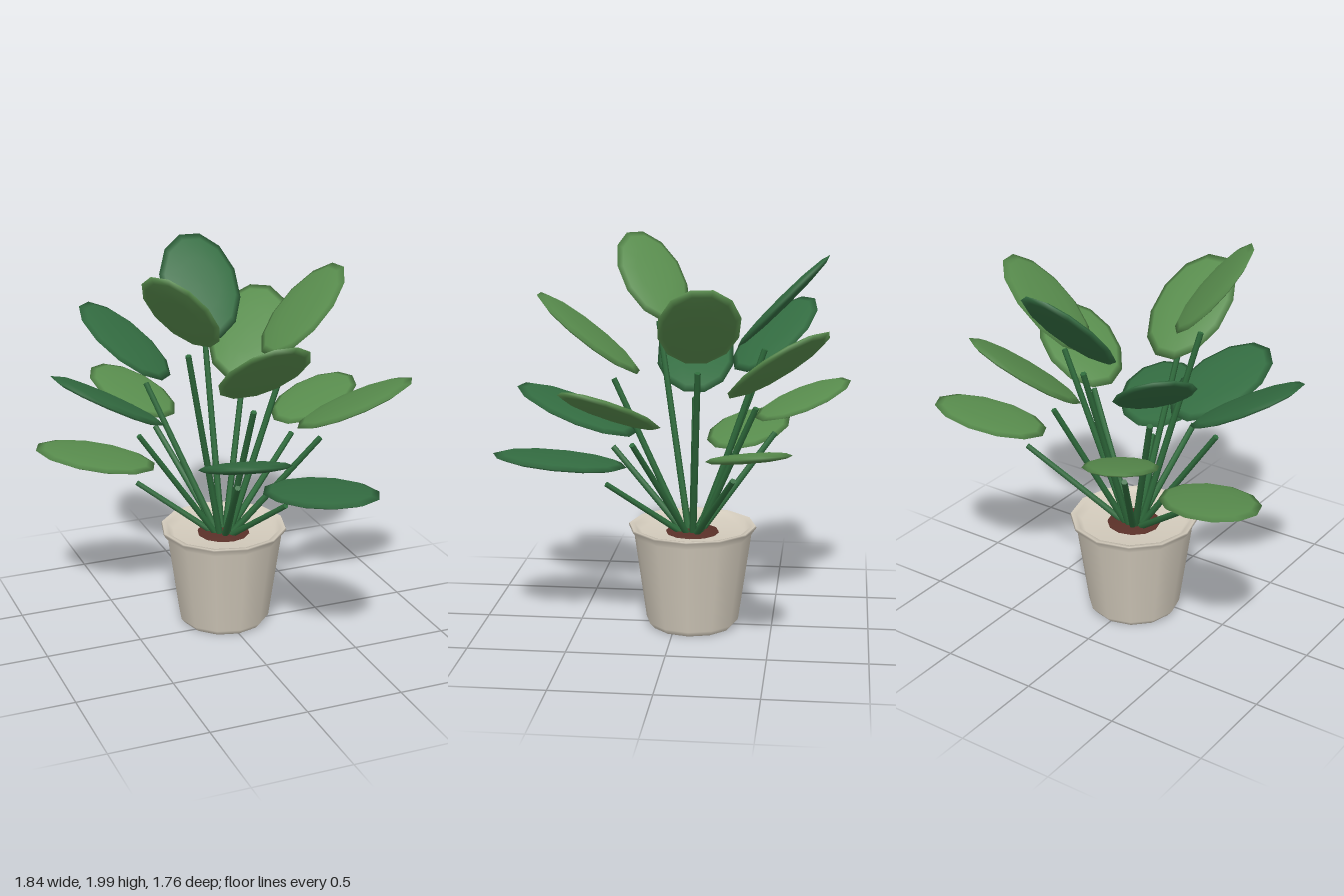
import * as THREE from 'three';

const flat = (name, color) => {
  const m = new THREE.MeshStandardMaterial({ color });
  m.name = name;
  return m;
};

export function createModel() {
  const model = new THREE.Group();
  model.name = 'pottedPlant';

  const clay = flat('paleClay', 0xd3cbbc);
  const earth = flat('brownSoil', 0x5a3028);
  const stalk = flat('stemGreen', 0x2f6b3c);
  const light = flat('lightLeafGreen', 0x588c4d);
  const dark = flat('darkLeafGreen', 0x336c41);

  const add = (name, geometry, material, parent = model) => {
    const mesh = new THREE.Mesh(geometry, material);
    mesh.name = name;
    parent.add(mesh);
    return mesh;
  };

  // Everything grows from the pot's axis, a little behind the centre
  const axisZ = -0.085;
  const lathe = (points) =>
    new THREE.LatheGeometry(points.map(([r, y]) => new THREE.Vector2(r, y)), 12);

  // Pot: base, wall with a flared lip, and the shallow dish inside
  const pot = new THREE.Group();
  pot.name = 'pot';
  pot.position.z = axisZ;
  model.add(pot);
  add('potBase', lathe([[0, 0], [0.215, 0]]), clay, pot);
  add('potWall', lathe([[0.215, 0], [0.24, 0.03], [0.305, 0.49], [0.332, 0.527], [0.328, 0.535]]), clay, pot);
  add('potDish', lathe([[0.328, 0.535], [0.3, 0.53], [0.27, 0.5], [0, 0.49]]), clay, pot);
  add('soil', lathe([[0.14, 0.485], [0.135, 0.503], [0, 0.508]]), earth, pot);

  // Leaves: centre x, y, z, upward tilt in degrees, length, material
  const leaves = [
    [-0.305, 1.145, -0.635, 19, 0.54, light],
    [-0.39, 1.475, -0.48, 36, 0.58, dark],
    [0.05, 1.71, -0.54, 46, 0.63, dark],
    [0.325, 1.435, -0.53, 36, 0.64, light],
    [0.66, 1.055, -0.41, 14, 0.57, light],
    [0.47, 1.635, -0.16, 44, 0.6, light],
    [0.575, 1.245, 0.255, 25, 0.62, light],
    [0.255, 0.92, 0.555, 8, 0.66, dark],
    [0, 1.525, 0.445, 38, 0.64, light],
    [-0.135, 1.1, 0.535, 20, 0.66, dark],
    [-0.31, 1.78, 0.155, 49, 0.56, light],
    [-0.625, 1.315, -0.04, 29, 0.63, dark],
    [-0.61, 0.915, -0.335, 10, 0.61, light],
  ];

  // Unit leaf: twelve-sided lens, long along z, with blunt ends
  const blade = new THREE.SphereGeometry(0.518, 12, 6);
  blade.rotateY(Math.PI / 12);
  blade.scale(0.65, 0.085, 1);

  const up = new THREE.Vector3(0, 1, 0);
  for (const [x, y, z, degrees, length, material] of leaves) {
    const tilt = THREE.MathUtils.degToRad(degrees);
    const centre = new THREE.Vector3(x, y, z);

    const leaf = add('leaf', blade, material);
    leaf.position.copy(centre);
    leaf.rotation.set(-tilt, Math.atan2(x, z - axisZ), 0, 'YXZ');
    leaf.scale.setScalar(length);

    // Stem: runs from the soil to just under the leaf's inner end
    const out = new THREE.Vector3(x, 0, z - axisZ).normalize();
    const along = out.clone().multiplyScalar(Math.cos(tilt)).addScaledVector(up, Math.sin(tilt));
    const normal = out.clone().multiplyScalar(-Math.sin(tilt)).addScaledVector(up, Math.cos(tilt));
    const top = centre.addScaledVector(along, -0.38 * length).addScaledVector(normal, -0.105);
    const root = new THREE.Vector3(0, 0.48, axisZ).addScaledVector(out, 0.035);
    const run = top.clone().sub(root);
    const stem = add('stem', new THREE.CylinderGeometry(0.015, 0.018, run.length(), 6), stalk);
    stem.position.copy(root).addScaledVector(run, 0.5);
    stem.quaternion.setFromUnitVectors(up, run.normalize());
  }

  return model;
}
